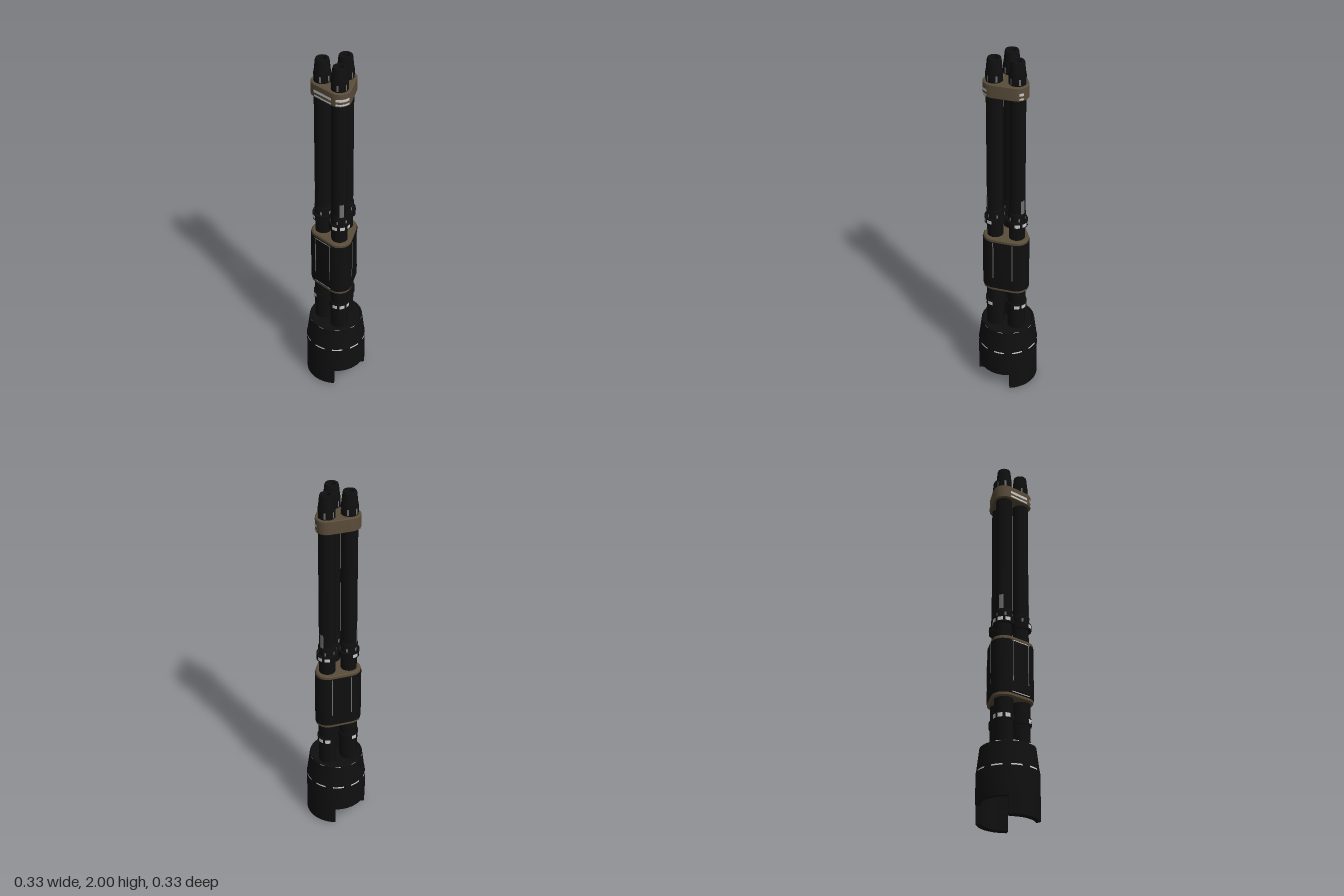
import * as THREE from 'three';
import { toCreasedNormals } from 'three/addons/utils/BufferGeometryUtils.js';

const mat = (name, color) => new THREE.MeshStandardMaterial({ name, color, side: THREE.DoubleSide });

export function createModel() {
  const black = mat('black metal', 0x0f0f0f);
  const tan = mat('dark tan', 0x5a4d3a);
  const silver = mat('silver trim', 0xc8c8c8);
  const grey = mat('grey plate', 0x707070);

  const root = new THREE.Group();
  root.name = 'tripleBarrel';
  const add = (name, geo, material, parent = root) => {
    const m = new THREE.Mesh(geo, material);
    m.name = name;
    parent.add(m);
    return m;
  };
  const lathe = (pts, seg = 24) => toCreasedNormals(
    new THREE.LatheGeometry(pts.map(([r, y]) => new THREE.Vector2(r, y)), seg), 0.5);
  // thin curved plate around the y axis; angle 0 faces +z
  const arcPlate = (r, y0, y1, angle, width, r1 = r) => {
    const g = new THREE.CylinderGeometry(r1, r, y1 - y0, 8, 1, true, angle - width / 2, width);
    return g.translate(0, (y0 + y1) / 2, 0);
  };

  const SPREAD = 0.068;
  const angles = [Math.PI / 3, Math.PI, -Math.PI / 3]; // left, back, right, from +z

  // rounded triangle wrapping the barrels, as [x, z] points starting at the left front corner
  const outline = (R) => {
    const pts = [];
    for (const a of angles) {
      for (let i = 0; i <= 5; i++) {
        const t = a - Math.PI / 3 + (i / 5) * (2 * Math.PI / 3);
        pts.push([SPREAD * Math.sin(a) + R * Math.sin(t), SPREAD * Math.cos(a) + R * Math.cos(t)]);
      }
    }
    return pts;
  };
  const prism = (R, y0, y1, bevel = 0) => {
    const shape = new THREE.Shape(outline(R - bevel).map(([x, z]) => new THREE.Vector2(x, -z)));
    const g = new THREE.ExtrudeGeometry(shape, {
      depth: y1 - y0 - 2 * bevel, bevelEnabled: bevel > 0,
      bevelSize: bevel, bevelThickness: bevel, bevelSegments: 1,
    });
    g.rotateX(-Math.PI / 2).translate(0, y0 + bevel, 0);
    return toCreasedNormals(g, 0.5);
  };
  // thin wall following part of an outline
  const strip = (pts, y0, y1) => {
    const pos = [], idx = [];
    pts.forEach(([x, z], i) => {
      pos.push(x, y0, z, x, y1, z);
      if (i) {
        const k = 2 * i;
        idx.push(k - 2, k, k - 1, k - 1, k, k + 1);
      }
    });
    const g = new THREE.BufferGeometry();
    g.setAttribute('position', new THREE.Float32BufferAttribute(pos, 3));
    g.setIndex(idx);
    g.computeVertexNormals();
    return g;
  };

  // three identical barrels, each turned so its own +z points outward
  for (const a of angles) {
    const barrel = new THREE.Group();
    barrel.name = 'barrel';
    barrel.position.set(SPREAD * Math.sin(a), 0, SPREAD * Math.cos(a));
    barrel.rotation.y = a;
    root.add(barrel);
    add('barrelTube', lathe([
      [0.049, 0.37], [0.049, 0.66], [0.043, 0.66], [0.043, 1.87], [0.044, 1.87], [0.044, 1.925],
      [0.041, 1.94], [0.036, 1.99], [0.033, 2], [0.021, 2], [0.018, 1.985], [0.018, 1.9], [0, 1.9],
    ], 20), black, barrel);
    // collars with bright outer faces
    for (const [r, y0, y1] of [[0.055, 0.515, 0.553], [0.057, 1.052, 1.088]]) {
      add('collar', lathe([[0.04, y0], [r, y0], [r, y1], [0.04, y1]], 20), black, barrel);
      for (const t of [-0.75, 0, 0.75])
        add('collarTrim', arcPlate(r + 0.001, y0 + 0.008, y1 - 0.008, t, 0.5), silver, barrel);
    }
    add('sleeve', lathe([[0.042, 1.085], [0.047, 1.085], [0.047, 1.13], [0.042, 1.14]], 20), black, barrel);
    add('sidePlate', arcPlate(0.0445, 1.135, 1.215, 0, 0.55), grey, barrel);
    // small slots on the sleeve and muzzle
    for (let i = 0; i < 6; i++) {
      const t = (i + 0.5) * Math.PI / 3;
      add('sleeveSlot', arcPlate(0.048, 1.092, 1.112, t, 0.2), grey, barrel);
      add('muzzleSlot', arcPlate(0.045, 1.885, 1.918, t, 0.2), grey, barrel);
    }
  }

  // upper clamp with bright bands round the front and one side
  add('upperClamp', prism(0.058, 1.805, 1.88, 0.004), tan);
  const rim = outline(0.0592);
  for (const [y0, y1] of [[1.813, 1.823], [1.835, 1.85]]) {
    add('clampFrontBand', strip([rim[17], rim[0]], y0, y1), silver);
    add('clampSideBand', strip(rim.slice(1, 5), y0, y1), silver);
    add('clampBackBand', strip(rim.slice(7, 9), y0, y1), silver);
  }

  // grip housing with tan end plates
  add('housing', prism(0.067, 0.655, 0.952), black);
  add('housingBottom', prism(0.064, 0.635, 0.66, 0.006), tan);
  add('housingTop', prism(0.064, 0.947, 0.972, 0.006), tan);
  const shell = outline(0.068);
  for (const y of [0.659, 0.945])
    add('housingTrim', strip([shell[17], shell[0]], y, y + 0.005), silver);
  // panel seams, repeated on the three flat faces
  for (let i = 0; i < 3; i++) {
    const face = new THREE.Group();
    face.name = 'panelSeams';
    face.rotation.y = i * 2 * Math.PI / 3;
    root.add(face);
    for (const x of [-0.053, 0.053]) {
      const seam = add('panelSeam', new THREE.BoxGeometry(0.005, 0.23, 0.003), grey, face);
      seam.position.set(x, 0.835, SPREAD / 2 + 0.067);
    }
  }

  // flared hollow base
  add('base', lathe([
    [0, 0.25], [0.138, 0.25], [0.138, 0.1], [0.163, 0.1], [0.163, 0.255], [0.159, 0.275],
    [0.145, 0.388], [0.138, 0.392], [0.132, 0.385], [0, 0.385],
  ].map((p) => p), 28), black);
  for (let i = 0; i < 10; i++) {
    const t = (i + 0.3) * Math.PI / 5;
    add('baseSeam', arcPlate(0.1638, 0.254, 0.262, t, 0.36, 0.1625), silver);
    add('baseRimSeam', arcPlate(0.1455, 0.386, 0.39, t, 0.2), silver);
  }

  // front and back tabs below the base
  for (const turn of [0, Math.PI]) {
    const half = 0.67, b = 0.006;
    const sector = new THREE.Shape();
    sector.absarc(0, 0, 0.163 - b, -Math.PI / 2 - half, -Math.PI / 2 + half, false);
    sector.absarc(0, 0, 0.134 + b, -Math.PI / 2 + half, -Math.PI / 2 - half, true);
    sector.closePath();
    const g = new THREE.ExtrudeGeometry(sector, {
      depth: 0.11 - 2 * b, bevelSize: b, bevelThickness: b, bevelSegments: 1, curveSegments: 8,
    });
    g.rotateX(-Math.PI / 2).translate(0, b, 0);
    add('baseTab', toCreasedNormals(g, 0.5), black).rotation.y = turn;
  }
  return root;
}
